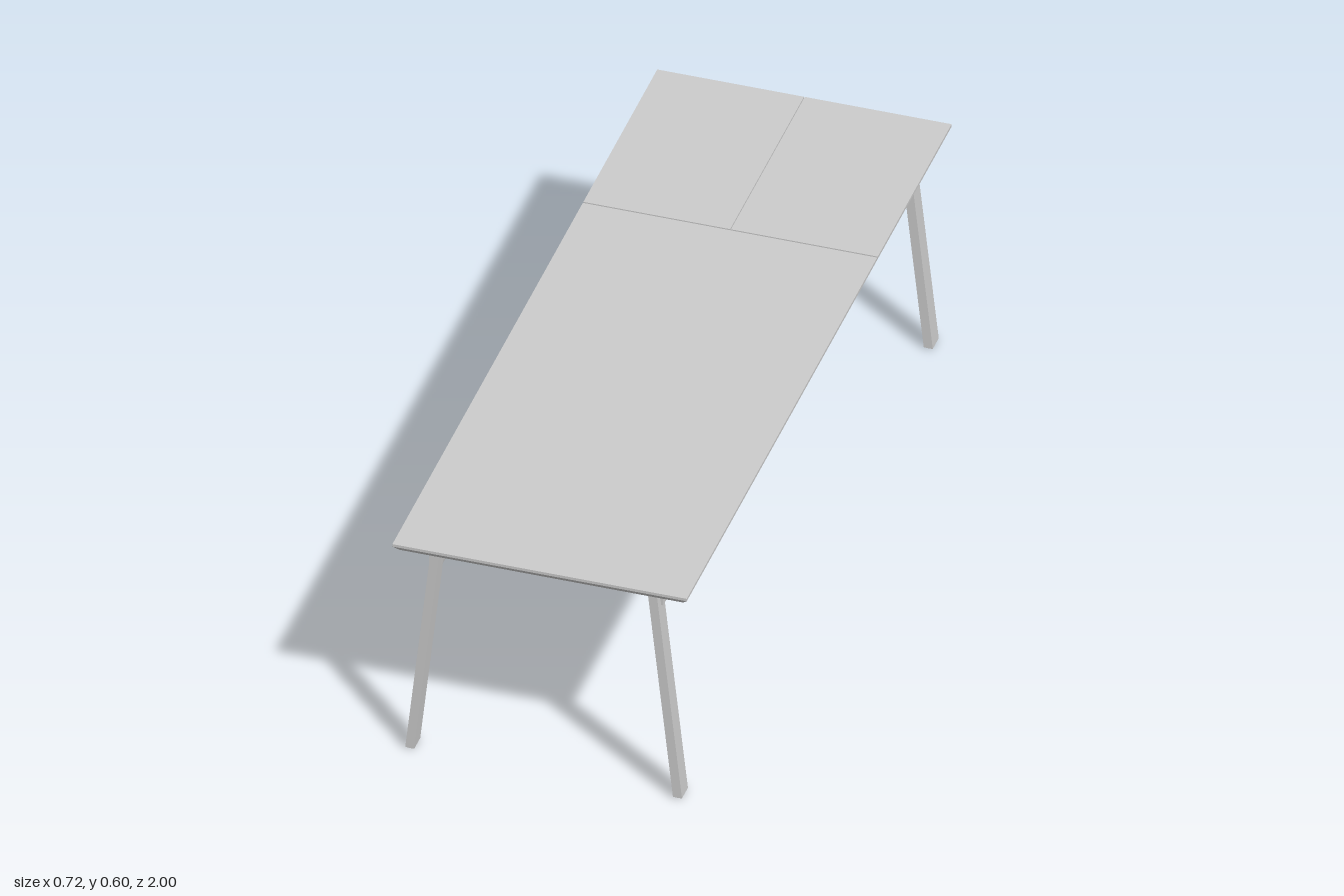
import * as THREE from 'three';

const material = new THREE.MeshStandardMaterial({ color: 0xcccccc, flatShading: true });

// Box given by its limits, with an optional rule that moves each vertex
function block(name, [x0, x1], [y0, y1], [z0, z1], rule, ySegments = 1) {
  const geo = new THREE.BoxGeometry(x1 - x0, y1 - y0, z1 - z0, 1, ySegments, 1);
  geo.translate((x0 + x1) / 2, (y0 + y1) / 2, (z0 + z1) / 2);
  if (rule) {
    const p = geo.attributes.position;
    const v = new THREE.Vector3();
    for (let i = 0; i < p.count; i++) {
      rule(v.fromBufferAttribute(p, i));
      p.setXYZ(i, v.x, v.y, v.z);
    }
    geo.computeVertexNormals();
  }
  const mesh = new THREE.Mesh(geo, material);
  mesh.name = name;
  return mesh;
}

// Top panel: square upper edge, chamfered lower edge. Insets: left, right, back, front
function panel(name, [x0, x1], [z0, z1], [a, b, c, d]) {
  const y0 = 0.573, y1 = 0.595, yMid = 0.588;
  const rule = (v) => {
    if (v.y < y0 + 0.001) {
      v.x += Math.abs(v.x - x0) < 0.001 ? a : -b;
      v.z += Math.abs(v.z - z0) < 0.001 ? c : -d;
    } else if (v.y < y1 - 0.001) v.y = yMid;
  };
  return block(name, [x0, x1], [y0, y1], [z0, z1], rule, 2);
}

// Prism along z from an x/y outline
function prism(name, points, z0, z1) {
  const shape = new THREE.Shape(points.map(([x, y]) => new THREE.Vector2(x, y)));
  const geo = new THREE.ExtrudeGeometry(shape, { depth: z1 - z0, bevelEnabled: false });
  geo.translate(0, 0, z0);
  const mesh = new THREE.Mesh(geo, material);
  mesh.name = name;
  return mesh;
}

// Leg leaning outward toward the floor, with its joint at the frame
function leg(sx, sz) {
  const group = new THREE.Group();
  group.name = `${sz > 0 ? 'front' : 'back'}${sx > 0 ? 'Left' : 'Right'}Leg`;
  const lean = (y) => 0.326 - (0.062 * y) / 0.57;
  const post = block('legPost', [-0.011, 0.011], [0.004, 0.57], [-0.0225, 0.0225], (v) => {
    v.x = sx * lean(v.y) + v.x;
    v.z += sz * 0.947;
  });
  const foot = block('foot', [-0.008, 0.008], [0, 0.005], [-0.018, 0.018], (v) => {
    v.x += sx * 0.326;
    v.z += sz * 0.947;
  });
  // Flared socket behind the leg
  const socket = block('legSocket', [-0.016, 0.016], [0.527, 0.57], [-0.028, 0.028], (v) => {
    if (v.y > 0.55) v.x *= 1.25;
    v.x += sx * lean(v.y);
    v.z += sz * 0.922;
  });
  const plate = block('mountingPlate', [sx * 0.27 - 0.06, sx * 0.27 + 0.06], [0.567, 0.573],
    [sz * 0.925 - 0.04, sz * 0.925 + 0.04]);
  group.add(post, foot, socket, plate);
  return group;
}

export function createModel() {
  const model = new THREE.Group();
  model.name = 'extendingTable';

  // Main top and two back leaves, split by narrow seams
  const W = 0.358, seam = -0.44, c = 0.013, s = 0.007;
  model.add(
    panel('mainTop', [-W, W], [seam + 0.002, 1], [c, c, s, c]),
    panel('rightLeaf', [-W, -0.001], [-1, seam - 0.002], [c, 0, c, s]),
    panel('leftLeaf', [0.001, W], [-1, seam - 0.002], [0, c, c, s]),
  );

  // End aprons with sloping ends
  const apron = [[-0.345, 0.571], [-0.315, 0.532], [0.315, 0.532], [0.345, 0.571]];
  model.add(prism('frontApron', apron, 0.912, 0.93), prism('backApron', apron, -0.93, -0.912));

  for (const m of [-1, 1]) {
    // Sloping side rails, with a sleeve where the extension slides out
    const rail = (t) => [[0.345, 0.573], [0.315, 0.532], [0.315 - t, 0.532], [0.345 - t, 0.573]]
      .map(([x, y]) => [m * x, y]);
    model.add(prism('sideRail', rail(0.016), -0.36, 0.93));
    model.add(prism('railSleeve', rail(0.024), -0.43, -0.36));

    // Telescoping slides under the leaves
    const span = (a, b) => (m > 0 ? [a, b] : [-b, -a]);
    model.add(
      block('upperSlide', span(0.3, 0.325), [0.556, 0.57], [-0.915, -0.36]),
      block('lowerSlide', span(0.297, 0.315), [0.536, 0.55], [-0.915, -0.36]),
      block('slideWeb', span(0.302, 0.308), [0.548, 0.558], [-0.915, -0.43]),
      block('slideCover', span(0.31, 0.322), [0.538, 0.568], [-0.905, -0.63]),
    );

    // Locking knobs
    const knob = new THREE.Mesh(new THREE.CylinderGeometry(0.003, 0.003, 0.02, 10), material);
    knob.name = 'lockingKnob';
    knob.rotation.z = Math.PI / 2;
    knob.position.set(m * 0.321, 0.54, -0.47);
    const cap = block('knobCap', span(0.326, 0.331), [0.536, 0.543], [-0.476, -0.464]);
    model.add(knob, cap);

    for (const n of [-1, 1]) model.add(leg(m, n));
  }

  // Cross bar beneath the seam
  model.add(block('crossBar', [-0.31, 0.31], [0.557, 0.573], [-0.43, -0.405]));
  return model;
}
